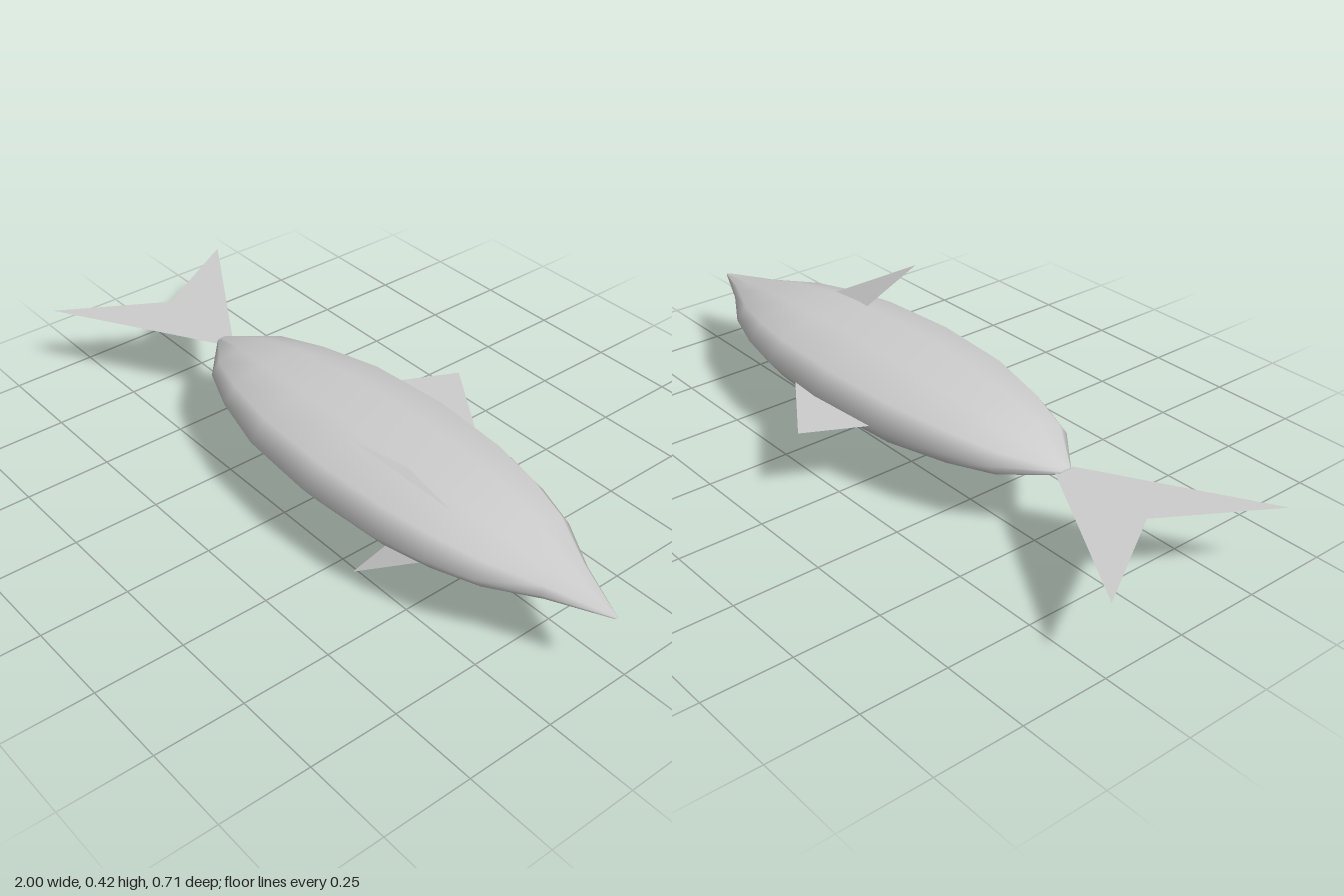
import * as THREE from 'three';

const CY = 0.2125, CZ = 0.052; // body axis

export function createModel() {
  const group = new THREE.Group();
  group.name = 'fish';
  const grey = new THREE.MeshStandardMaterial({ color: 0xcccccc, side: THREE.DoubleSide });
  grey.name = 'fish grey';

  const add = (name, geometry) => {
    const mesh = new THREE.Mesh(geometry, grey);
    mesh.name = name;
    group.add(mesh);
    return mesh;
  };

  // Flat fin made from a fan of corner points
  const fin = (name, points) => {
    const g = new THREE.BufferGeometry().setFromPoints(points.map(p => new THREE.Vector3(...p)));
    const index = [];
    for (let i = 1; i < points.length - 1; i++) index.push(0, i, i + 1);
    g.setIndex(index);
    g.computeVertexNormals();
    // Keep the horizontal fins facing up
    return add(name, g);
  };

  // Body: ten-sided, flattened spindle lying on its side (x, radius)
  const profile = [
    [-0.545, 0], [-0.545, 0.02], [-0.41, 0.135], [-0.27, 0.192], [-0.08, 0.241], [0.165, 0.259],
    [0.405, 0.243], [0.55, 0.212], [0.69, 0.163], [0.83, 0.08], [0.99, 0.007], [1, 0],
  ].map(([x, r]) => new THREE.Vector2(r, x));
  const body = new THREE.LatheGeometry(profile, 10);
  body.rotateZ(-Math.PI / 2);
  body.scale(1, 0.41, 1);
  body.translate(0, CY, CZ);
  add('body', body);

  // Forked tail fin
  fin('tailFin', [[-0.49, CY, CZ], [-1, CY, -0.25], [-0.82, CY, CZ], [-1, CY, 0.352]]);

  // Back fin, rooted inside the body
  fin('dorsalFin', [[0.025, CY, -0.358], [-0.09, CY, -0.13], [0.33, CY, -0.155]]);

  // Pair of side fins, mirrored about the body's middle plane
  for (const [name, s] of [['leftSideFin', 1], ['rightSideFin', -1]]) {
    const corners = [[0.305, 0.2085, 0.262], [0.545, 0.07, 0.139], [0.366, 0.09, 0.122]]
      .map(([x, y, z]) => [x, CY + s * y, z]);
    fin(name, s > 0 ? corners : corners.reverse());
  }
  return group;
}
